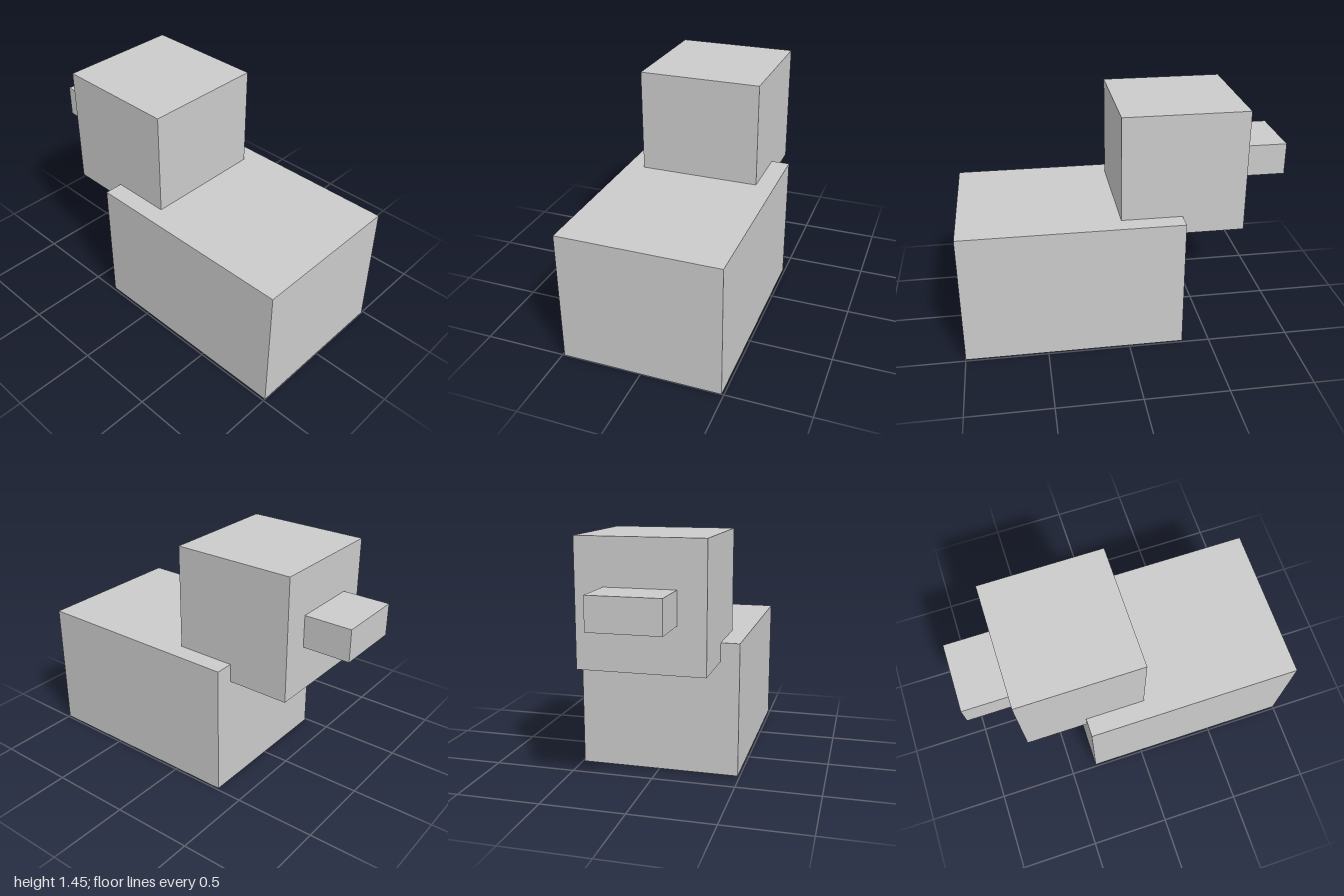
import * as THREE from 'three';

export function createModel() {
  const model = new THREE.Group();
  model.name = 'blockyBird';
  const material = new THREE.MeshStandardMaterial({ color: 0xcccccc, flatShading: true });

  // Box spanning the given ranges, centred on x = 0
  function addBlock(name, width, [y0, y1], [z0, z1]) {
    const mesh = new THREE.Mesh(new THREE.BoxGeometry(width, y1 - y0, z1 - z0), material);
    mesh.name = name;
    mesh.position.set(0, (y0 + y1) / 2, (z0 + z1) / 2);
    model.add(mesh);
  }

  addBlock('body', 0.974, [0, 0.813], [-0.333, 1]);
  // Head overlaps the top back edge of the body
  addBlock('head', 0.746, [0.7, 1.448], [-0.713, 0.035]);
  // Beak sits slightly sunk into the head
  addBlock('beak', 0.418, [0.978, 1.172], [-1, -0.7]);

  return model;
}
